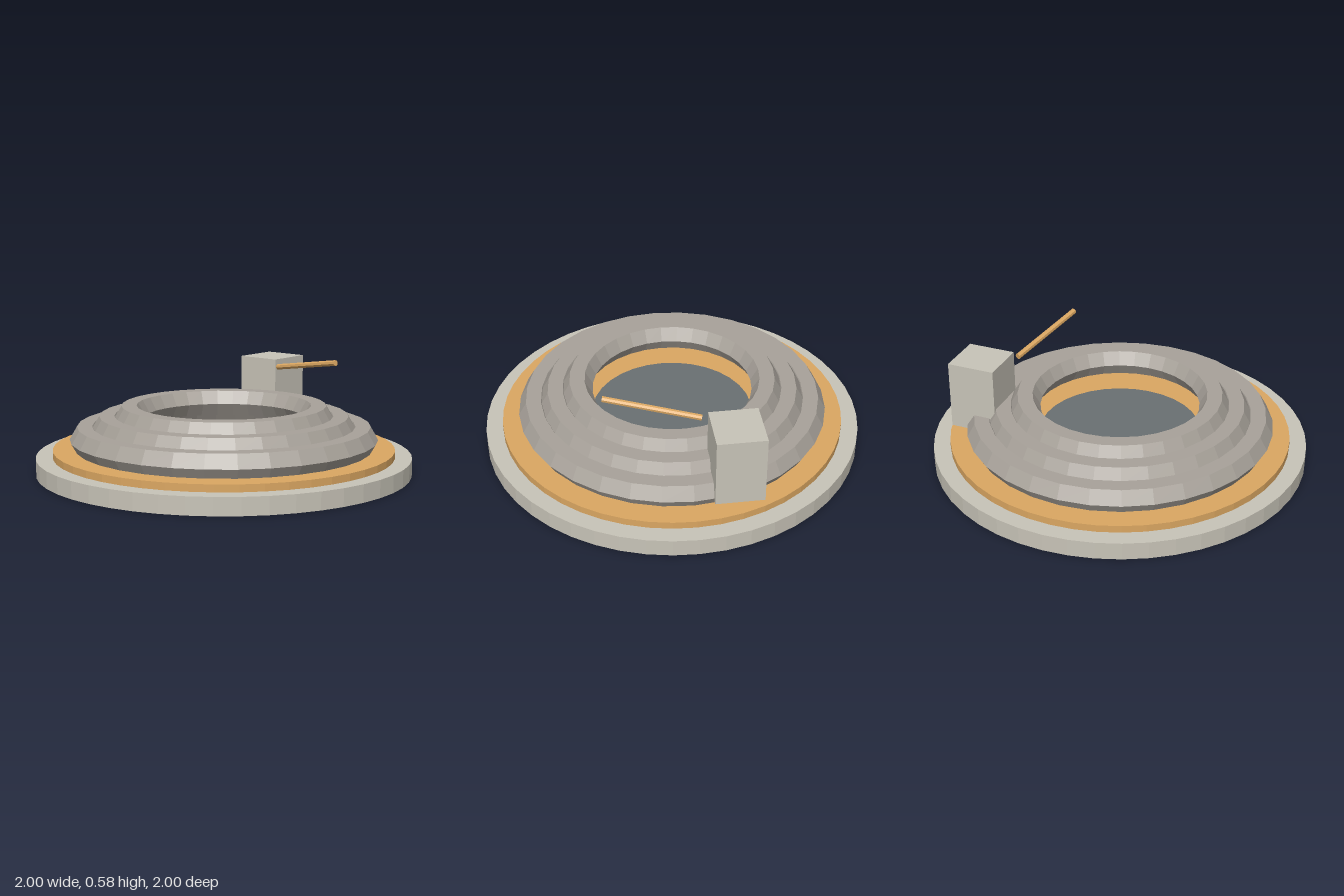
import * as THREE from 'three';

const material = (color) => new THREE.MeshStandardMaterial({ color, flatShading: true });

export function createModel() {
  const group = new THREE.Group();
  const stone = material(0xc8c4b8);
  const ringStone = material(0xa8a29a);
  const sand = material(0xdba762);
  const slate = material(0x6a7072);

  function add(name, geometry, mat, x, y, z) {
    const mesh = new THREE.Mesh(geometry, mat);
    mesh.name = name;
    mesh.position.set(x, y, z);
    group.add(mesh);
    return mesh;
  }

  // Upright disc given by its radius and its bottom and top heights
  function disc(name, radius, bottom, top, sides, mat) {
    const geometry = new THREE.CylinderGeometry(radius, radius, top - bottom, sides);
    add(name, geometry, mat, 0, (bottom + top) / 2, 0);
  }

  // Stacked floor
  disc('base', 1, 0, 0.092, 48, stone);
  disc('floor', 0.91, 0.092, 0.13, 48, sand);
  disc('centrePool', 0.43, 0.12, 0.136, 32, slate);

  // Three hexagonal-section rings, stepping inward and upward
  for (let i = 0; i < 3; i++) {
    const geometry = new THREE.TorusGeometry(0.74 - i * 0.118, 0.08, 6, 32);
    geometry.rotateX(-Math.PI / 2);
    add('tierRing' + (i + 1), geometry, ringStone, 0, 0.18 + i * 0.0535, 0);
  }

  // Block standing on the rings
  add('block', new THREE.BoxGeometry(0.26, 0.37, 0.25), stone, 0.7, 0.345, -0.225);

  // Slanted pole reaching forward from the block
  const start = new THREE.Vector3(0.56, 0.492, -0.072);
  const end = new THREE.Vector3(0.443, 0.568, 0.408);
  const direction = end.clone().sub(start);
  const pole = add('pole', new THREE.CylinderGeometry(0.016, 0.016, direction.length(), 8), sand, 0, 0, 0);
  pole.position.copy(start).add(end).multiplyScalar(0.5);
  pole.quaternion.setFromUnitVectors(new THREE.Vector3(0, 1, 0), direction.normalize());

  return group;
}
